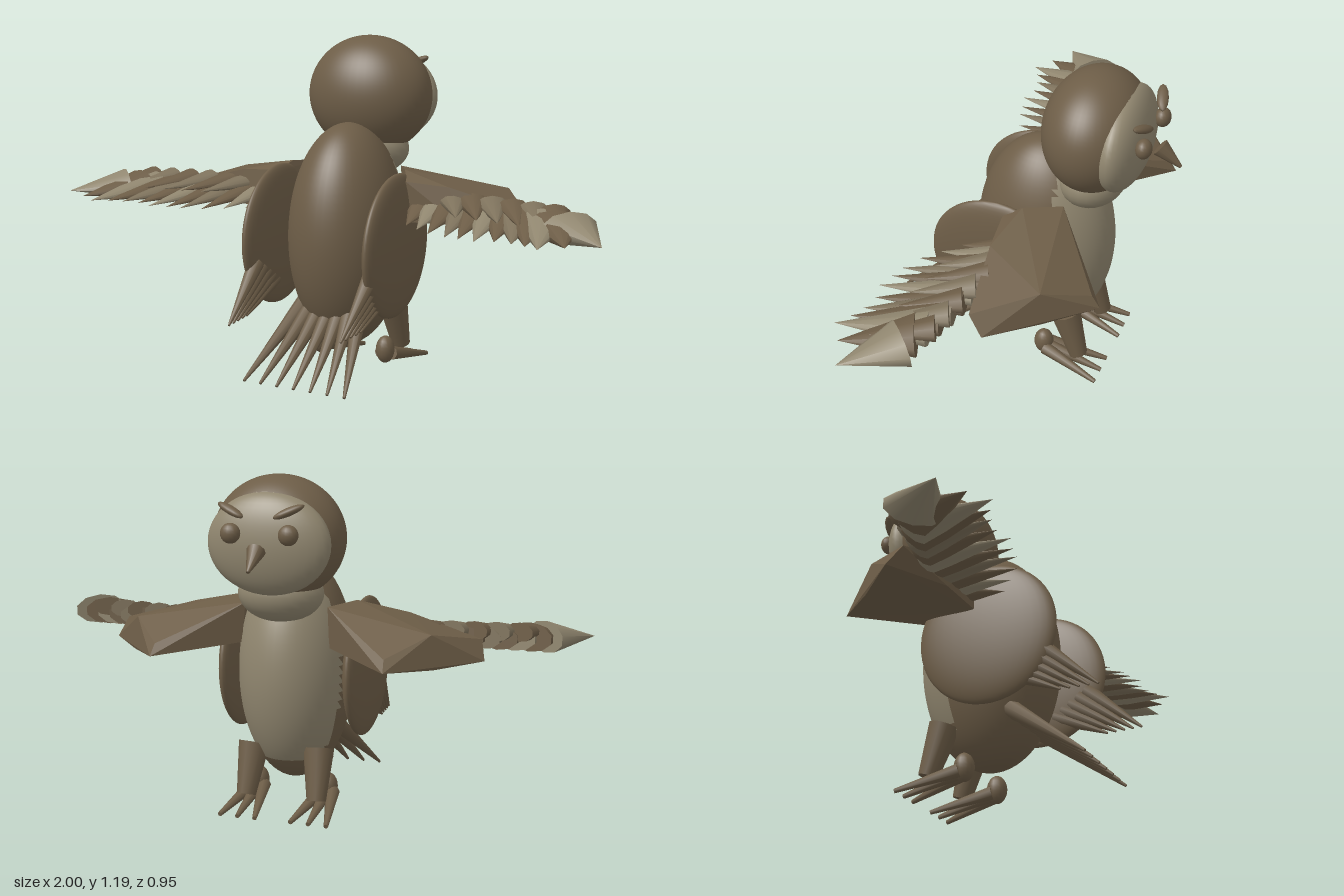
import * as THREE from 'three';
import { ConvexGeometry } from 'three/addons/geometries/ConvexGeometry.js';

const material = (name, color) => {
  const m = new THREE.MeshStandardMaterial({ color });
  m.name = name;
  return m;
};
const V = (x, y, z) => new THREE.Vector3(x, y, z);

export function createModel() {
  const owl = new THREE.Group();
  owl.name = 'owl';
  const brown = material('brown plumage', 0x6d5d47);
  const pale = material('pale plumage', 0x90866f);
  const tan = material('tan feather', 0x7e725c);

  const add = (name, geometry, mat, parent = owl) => {
    const mesh = new THREE.Mesh(geometry, mat);
    mesh.name = name;
    parent.add(mesh);
    return mesh;
  };
  const group = (name) => {
    const g = new THREE.Group();
    g.name = name;
    owl.add(g);
    return g;
  };

  const ellipsoid = (center, radii, w = 24, h = 16) =>
    new THREE.SphereGeometry(1, w, h).scale(...radii).translate(...center);

  // Flattened cone running between two points; flat is thickness / width
  const spike = (from, to, radius, flat = 1, tipRadius = 0, sides = 10) => {
    const dir = to.clone().sub(from);
    const length = dir.length();
    dir.normalize();
    const side = dir.clone().cross(V(0, 1, 0)).normalize();
    const up = side.clone().cross(dir);
    const g = new THREE.CylinderGeometry(tipRadius, radius, length, sides);
    g.translate(0, length / 2, 0).scale(1, 1, flat);
    return g.applyMatrix4(new THREE.Matrix4().makeBasis(side, dir, up).setPosition(from));
  };

  // Sorts faces into two material groups by the position of their centre
  const paint = (g, isPale) => {
    const p = g.attributes.position;
    const lists = [[], []];
    for (let i = 0; i < g.index.count; i += 3) {
      const ids = [0, 1, 2].map((k) => g.index.getX(i + k));
      const c = V(0, 0, 0);
      ids.forEach((id) => c.add(V(p.getX(id), p.getY(id), p.getZ(id))));
      lists[isPale(c.divideScalar(3)) ? 1 : 0].push(...ids);
    }
    g.setIndex([...lists[0], ...lists[1]]);
    g.clearGroups();
    g.addGroup(0, lists[0].length, 0);
    g.addGroup(lists[0].length, lists[1].length, 1);
    return g;
  };

  // Body with pale belly, head with pale throat, and flat face
  add('body', paint(ellipsoid([0, 0.5, 0], [0.2, 0.4, 0.25], 48, 40),
    (c) => c.z < -0.08 && c.y > 0.2), [brown, pale]);
  add('head', paint(ellipsoid([0, 0.98, -0.18], [0.23, 0.212, 0.18], 48, 40),
    (c) => c.z < -0.3 || (c.y < 0.81 && c.z < -0.1)), [brown, pale]);
  add('face', ellipsoid([0, 0.97, -0.285], [0.215, 0.172, 0.083], 32, 24), pale);
  add('throat', ellipsoid([0, 0.79, -0.17], [0.15, 0.1, 0.12]), pale);
  add('beak', spike(V(0, 0.96, -0.4), V(0, 0.9, -0.475), 0.032, 1, 0.006), brown);

  // Tail fan
  const tail = group('tail');
  for (let i = -3; i <= 3; i++) {
    add('tailFeather', spike(V(i * 0.036, 0.27, 0.12), V(i * 0.064, 0.05, 0.41), 0.032, 1, 0.005, 8), brown, tail);
  }

  for (const s of [1, -1]) {
    const sideName = s > 0 ? 'left' : 'right';

    // Eye and slanted brow
    add(sideName + 'Eye', ellipsoid([s * 0.1, 1.01, -0.375], [0.034, 0.034, 0.028], 16, 12), brown);
    const brow = add(sideName + 'Brow', new THREE.SphereGeometry(1, 12, 8).scale(0.055, 0.014, 0.02), brown);
    brow.position.set(s * 0.1, 1.085, -0.37);
    brow.rotation.set(0, s * -0.3, s * 0.4);

    // Round side shield with the long feathers behind it
    const flank = group(sideName + 'Flank');
    add('sideDisc', ellipsoid([s * 0.228, 0.5, 0.09], [0.044, 0.25, 0.25], 40, 28), brown, flank);
    for (let i = 0; i < 5; i++) {
      add('flankFeather', spike(V(s * 0.22, 0.43 - i * 0.02, 0.27 - i * 0.03),
        V(s * (0.21 + i * 0.002), 0.26, 0.47 - i * 0.032), 0.03, 1, 0.004, 8), brown, flank);
    }

    // Spread wing: thick arm with a flat outer edge
    const wing = group(sideName + 'Wing');
    const arm = [
      [0.41, 0.575, -0.35], [0.405, 0.615, -0.32], [0.68, 0.575, -0.05], [0.66, 0.64, 0], [0.53, 0.68, -0.19],
      [0.54, 0.565, -0.2], [0.15, 0.74, -0.12], [0.22, 0.75, 0], [0.16, 0.6, -0.13],
      [0.24, 0.58, 0.06], [0.45, 0.585, 0.05], [0.4, 0.71, 0.04], [0.25, 0.72, 0.06],
    ];
    add('wingArm', new ConvexGeometry(arm.map(([x, y, z]) => V(s * x, y, z))), brown, wing);

    // Fan of overlapping flight feathers, widening towards the tip
    const tips = [[0.31, 0.19], [0.37, 0.24], [0.43, 0.29], [0.5, 0.32], [0.55, 0.33], [0.61, 0.35],
      [0.67, 0.33], [0.73, 0.34], [0.78, 0.36], [0.83, 0.39], [0.9, 0.34], [1, 0.29]];
    tips.forEach(([x, z], i) => {
      const t = i / (tips.length - 1);
      const base = V(s * (0.29 + 0.56 * t), 0.635, 0.0 + 0.14 * t * t);
      const color = i === 11 || i % 4 === 1 ? pale : i % 4 === 3 ? tan : brown;
      add('flightFeather', spike(base, V(s * x, 0.6 + 0.02 * t, z), 0.055 + 0.045 * t * t, 0.55), color, wing);
    });
    // Short covert feathers over the upper surface
    for (let i = 0; i < 6; i++) {
      const x = 0.4 + i * 0.075;
      add('covertFeather', spike(V(s * x, 0.66, 0.0 + i * 0.012), V(s * (x + 0.09), 0.645, 0.2 + i * 0.01),
        0.055, 0.6), i % 2 ? brown : tan, wing);
    }

    // Leg, heel and three splayed toes
    const leg = group(sideName + 'Leg');
    add('shin', spike(V(s * 0.12, 0.24, -0.12), V(s * 0.13, 0.065, -0.175), 0.055, 1, 0.034, 12), brown, leg);
    add('heel', ellipsoid([s * 0.13, 0.08, -0.04], [0.034, 0.05, 0.036], 16, 12), brown, leg);
    for (const k of [-1, 0, 1]) {
      add('toe', spike(V(s * 0.13 + k * 0.02, 0.065, -0.05), V(s * 0.13 + k * 0.065, 0.01, -0.265),
        0.025, 1, 0.008, 8), brown, leg);
    }
  }
  return owl;
}
